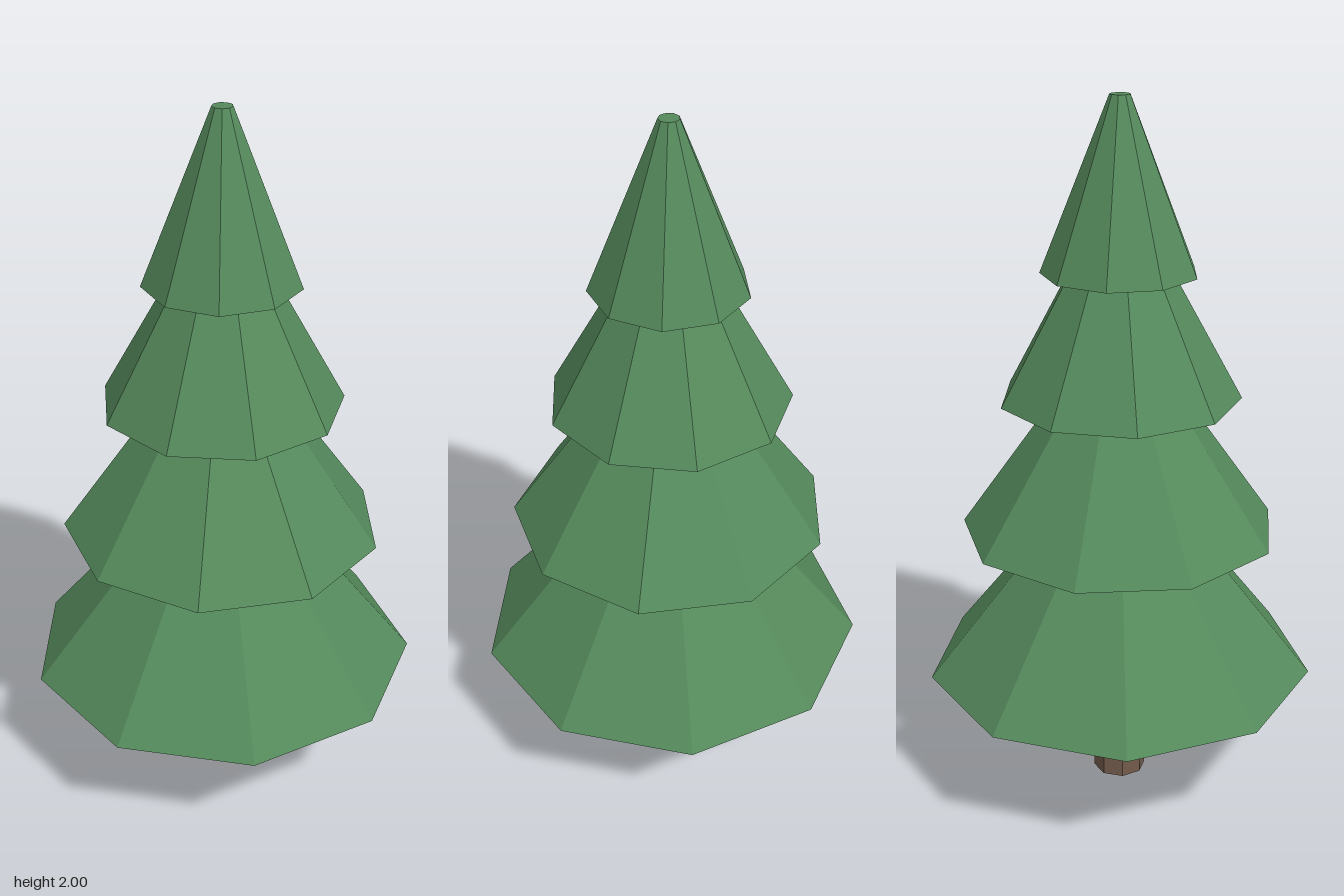
import * as THREE from 'three';

const CENTRE_Z = 0.015;

function makeMaterial(name, color) {
  const material = new THREE.MeshStandardMaterial({ color, flatShading: true });
  material.name = name;
  return material;
}

// Faceted frustum standing on y = bottom, turned by an angle in radians
function frustum(name, material, topRadius, baseRadius, bottom, top, sides, turn) {
  const geometry = new THREE.CylinderGeometry(topRadius, baseRadius, top - bottom, sides);
  const mesh = new THREE.Mesh(geometry, material);
  mesh.name = name;
  mesh.position.set(0, (bottom + top) / 2, CENTRE_Z);
  mesh.rotation.y = turn;
  return mesh;
}

export function createModel() {
  const model = new THREE.Group();
  model.name = 'pineTree';
  const needles = makeMaterial('needleGreen', 0x558a5c);
  const bark = makeMaterial('barkBrown', 0x735c4c);

  // Trunk, its top just inside the lowest tier
  model.add(frustum('trunk', bark, 0.076, 0.076, 0, 0.4, 8, 0));

  // Nine-sided tiers; each reaches slightly into the next and is twisted 0.4 rad
  const tiers = [
    { base: 0.555, top: 0.185, y0: 0.36, y1: 0.82 },
    { base: 0.45, top: 0.155, y0: 0.79, y1: 1.21 },
    { base: 0.337, top: 0.128, y0: 1.18, y1: 1.56 },
    { base: 0.216, top: 0.028, y0: 1.53, y1: 2 },
  ];
  tiers.forEach((t, i) => {
    const turn = Math.PI / 9 + i * 0.4;
    model.add(frustum(`foliageTier${i + 1}`, needles, t.top, t.base, t.y0, t.y1, 9, turn));
  });

  return model;
}
